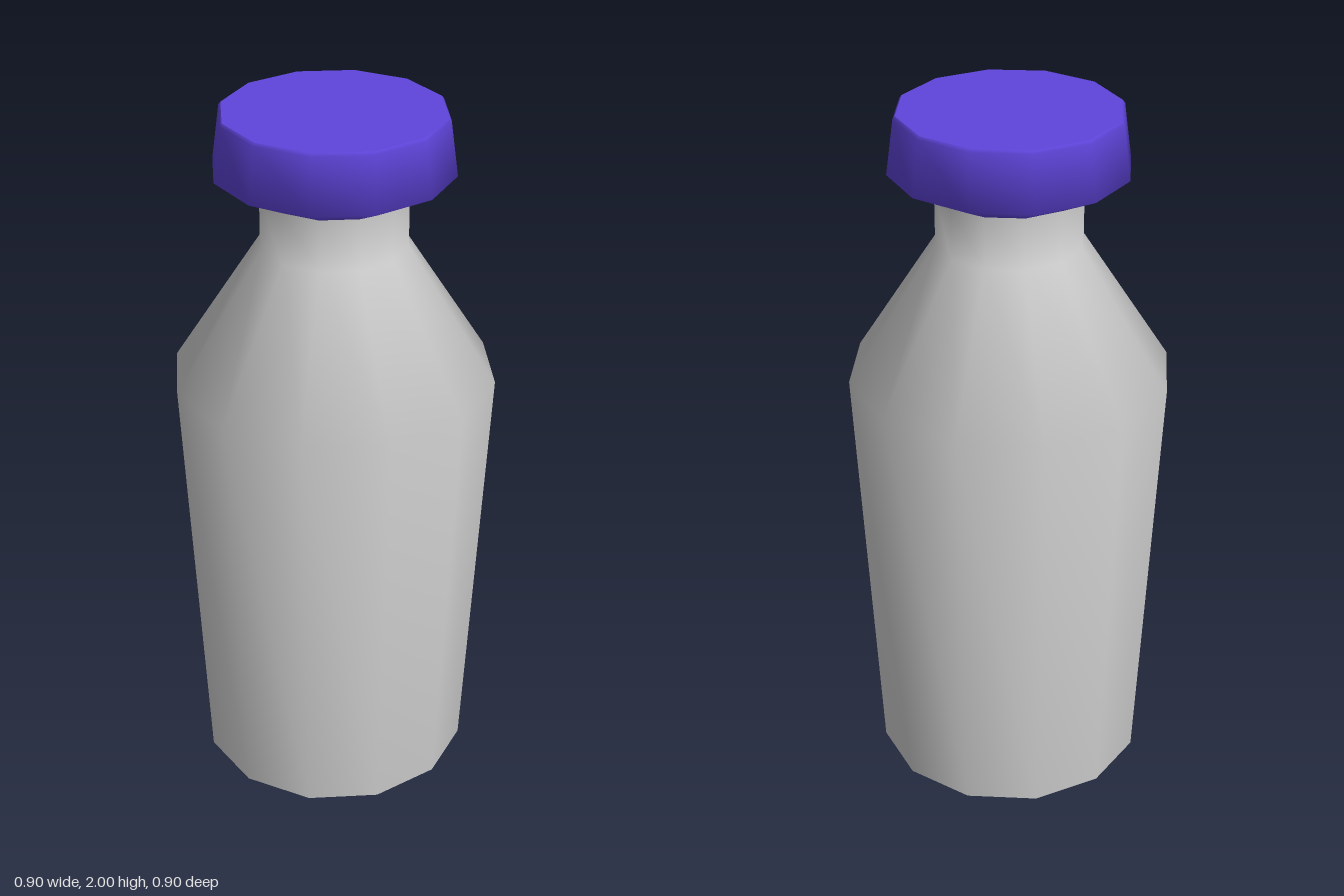
import * as THREE from 'three';

const SIDES = 12;

export function createModel() {
  const group = new THREE.Group();
  const grey = new THREE.MeshStandardMaterial({ color: 0xcccccc });
  grey.name = 'bottle grey';
  const purple = new THREE.MeshStandardMaterial({ color: 0x6045dc });
  purple.name = 'cap purple';

  const add = (name, geometry, material) => {
    const mesh = new THREE.Mesh(geometry, material);
    mesh.name = name;
    group.add(mesh);
    return mesh;
  };
  const lathe = (points) =>
    new THREE.LatheGeometry(points.map(([r, y]) => new THREE.Vector2(r, y)), SIDES);
  // flat twelve-sided disc facing up (1) or down (-1)
  const disc = (radius, y, facing) =>
    new THREE.CircleGeometry(radius, SIDES).rotateX(-facing * Math.PI / 2).translate(0, y, 0);

  // Bottle: tapered body, sloping shoulder, straight neck
  add('bottleBody', lathe([[0.39, 0], [0.452, 1.24], [0.204, 1.63], [0.204, 1.78]]), grey);
  add('bottleBase', disc(0.39, 0, -1), grey);

  // Cap: flared underside, tapered wall, narrow rim and flat top
  add('capWall', lathe([[0.2, 1.775], [0.329, 1.84], [0.308, 1.992], [0.302, 2]]), purple);
  add('capTop', disc(0.302, 2, 1), purple);

  return group;
}
